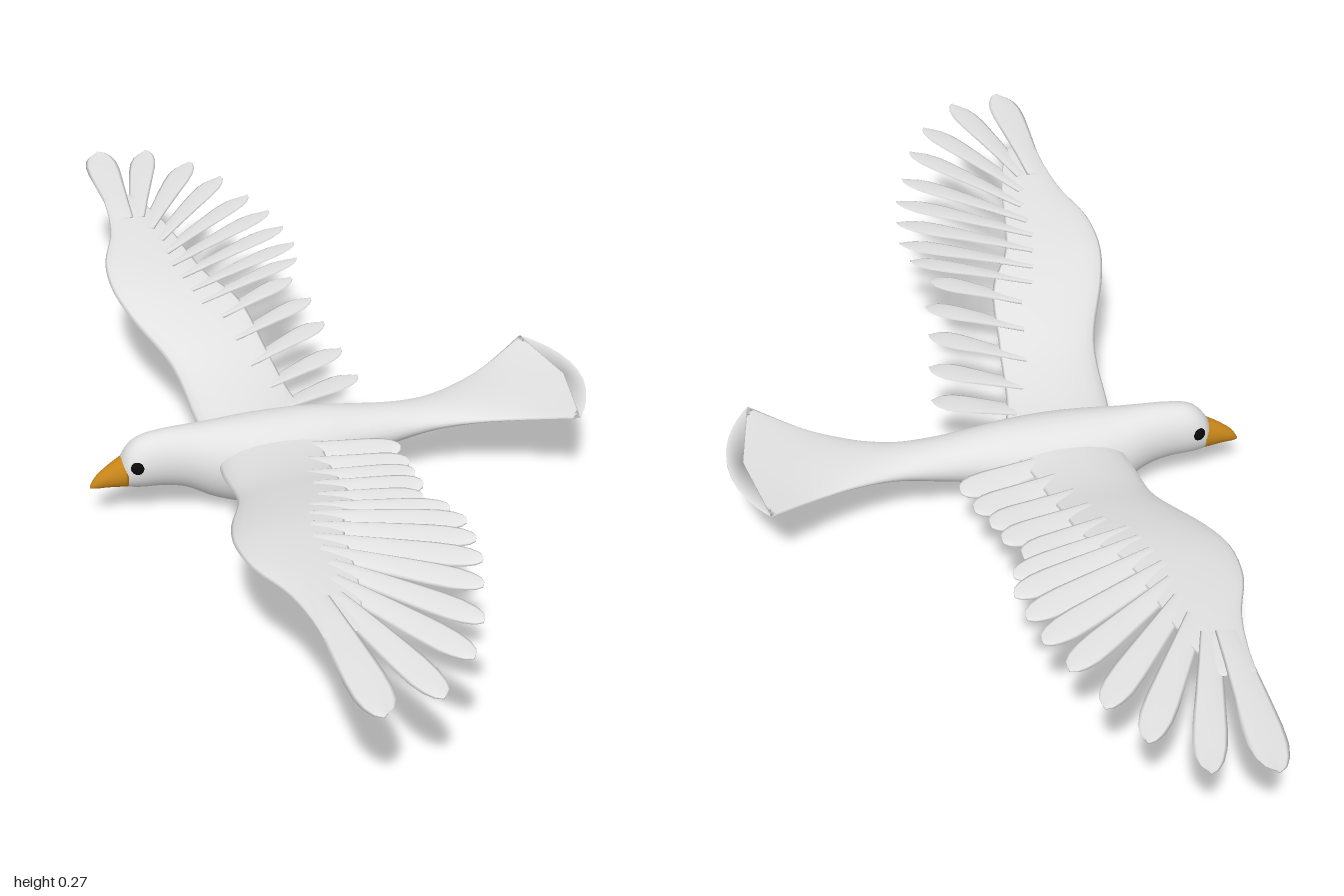
import * as THREE from 'three';

const white = new THREE.MeshStandardMaterial({ color: 0xe2e2e2, side: THREE.DoubleSide });
white.name = 'plumage white';
const orange = new THREE.MeshStandardMaterial({ color: 0xc8861a });
orange.name = 'beak orange';
const black = new THREE.MeshStandardMaterial({ color: 0x0a0a0a });
black.name = 'eye black';

// Smooth lookup in a table whose first column is the position
function table(rows) {
  const f = new THREE.CubicInterpolant(rows.map(r => r[0]), rows.flatMap(r => r.slice(1)), rows[0].length - 1);
  return x => Array.from(f.evaluate(x));
}

// Skin closed rings of points, with both ends capped
function loft(name, rings, material, mirror = 1) {
  const n = rings[0].length, pos = [], idx = [];
  const put = p => pos.push(p.x, p.y, p.z * mirror);
  const tri = (a, b, c) => (mirror > 0 ? idx.push(a, b, c) : idx.push(a, c, b));
  rings.forEach(r => r.forEach(put));
  for (const r of [rings[0], rings.at(-1)]) {
    put(r.reduce((s, p) => s.add(p), new THREE.Vector3()).divideScalar(n));
  }
  const last = (rings.length - 1) * n, cap = rings.length * n;
  for (let j = 0; j < n; j++) {
    const k = (j + 1) % n;
    for (let i = 0; i < last; i += n) {
      tri(i + j, i + k, i + n + j);
      tri(i + k, i + n + k, i + n + j);
    }
    tri(cap, j === 0 ? 1 : k, j);
    idx.splice(-3, 3);
    tri(cap, k, j);
    tri(cap + 1, last + j, last + k);
  }
  const g = new THREE.BufferGeometry();
  g.setAttribute('position', new THREE.Float32BufferAttribute(pos, 3));
  g.setIndex(idx);
  g.computeVertexNormals();
  const mesh = new THREE.Mesh(g, material);
  mesh.name = name;
  return mesh;
}

const ring = (n, f) => Array.from({ length: n }, (_, j) => {
  const a = (j / n) * Math.PI * 2;
  return f(Math.cos(a), Math.sin(a));
});

// Body sections along x: top, bottom, half width, backward bow
function bodyLoft(name, rows, steps, material) {
  const at = table(rows), x0 = rows[0][0], x1 = rows.at(-1)[0], rings = [];
  for (let i = 0; i <= steps; i++) {
    const x = x0 + (x1 - x0) * i / steps;
    const [top, bottom, half, bow] = at(x);
    rings.push(ring(28, (c, s) => new THREE.Vector3(
      x + bow * (1 - s * s), (top + bottom) / 2 + c * (top - bottom) / 2, s * half)));
  }
  return loft(name, rings, material);
}

// Height of the wing, by distance from the body axis
const wingY = table([[0, 0.135], [0.1, 0.143], [0.2, 0.162], [0.3, 0.192], [0.45, 0.23],
  [0.6, 0.249], [0.8, 0.26], [1.06, 0.26]]);

// Wing sections by span: leading x, trailing x, thickness
const wingSection = table([[0, -0.165, 0.05, 0.05], [0.085, -0.179, 0.02, 0.045], [0.25, -0.19, 0.0, 0.032],
  [0.4, -0.241, -0.02, 0.026], [0.478, -0.256, -0.06, 0.022], [0.575, -0.25, -0.08, 0.018],
  [0.675, -0.217, -0.095, 0.014], [0.76, -0.203, -0.115, 0.011], [0.826, -0.199, -0.14, 0.008]]);

// Feathers from wing tip to body: root x, root z, tip x, tip z, half width
const feathers = [
  [-0.178, 0.72, -0.166, 1.05, 0.034], [-0.15, 0.72, -0.063, 1.03, 0.028],
  [-0.14, 0.67, 0.015, 0.945, 0.028], [-0.13, 0.62, 0.062, 0.856, 0.027],
  [-0.13, 0.57, 0.096, 0.757, 0.027], [-0.13, 0.525, 0.122, 0.681, 0.028],
  [-0.12, 0.48, 0.134, 0.612, 0.028], [-0.11, 0.435, 0.14, 0.546, 0.027],
  [-0.1, 0.395, 0.129, 0.49, 0.026], [-0.07, 0.35, 0.1, 0.431, 0.029],
  [-0.06, 0.285, 0.122, 0.365, 0.029], [-0.05, 0.215, 0.129, 0.296, 0.03],
  [-0.04, 0.145, 0.143, 0.222, 0.031], [-0.04, 0.075, 0.153, 0.142, 0.032],
];
const featherShape = [[0, 0.6], [0.25, 0.72], [0.5, 0.88], [0.7, 1], [0.82, 0.98],
  [0.91, 0.8], [0.97, 0.5], [1, 0.1]];

function feather([rx, rz, tx, tz, half], mirror) {
  const d = new THREE.Vector3(tx - rx, 0, tz - rz).normalize();
  const rings = featherShape.map(([t, w]) => {
    const x = rx + (tx - rx) * t, z = rz + (tz - rz) * t, y = wingY(z)[0];
    const thick = 0.0045 * (1 - 0.6 * t);
    return ring(10, (c, s) => new THREE.Vector3(
      x + d.z * half * w * c, y + s * thick + 0.004 * c, z - d.x * half * w * c));
  });
  return loft('feather', rings, white, mirror);
}

function wing(name, mirror) {
  const g = new THREE.Group();
  g.name = name;
  const rings = [];
  for (let i = 0; i <= 30; i++) {
    const z = 0.826 * i / 30;
    const [lead, trail, thick] = wingSection(z), y = wingY(z)[0];
    rings.push(ring(20, (c, s) => {
      // blunt leading edge, thin drooping ends
      const u = (1 + c) / 2;
      const t = s * thick * 0.5 * (1.15 - 0.75 * u);
      const droop = -0.5 * thick * (1 - u) * (1 - u);
      return new THREE.Vector3(lead + (trail - lead) * u, y + t + droop, z);
    }));
  }
  g.add(loft('wingPanel', rings, white, mirror));
  feathers.forEach(f => g.add(feather(f, mirror)));
  return g;
}

export function createModel() {
  const bird = new THREE.Group();
  bird.name = 'bird';

  // Head, body and fanned tail in one skin
  bird.add(bodyLoft('body', [
    [-0.35, 0.132, 0.073, 0.025, 0], [-0.335, 0.154, 0.069, 0.034, 0], [-0.315, 0.168, 0.066, 0.039, 0],
    [-0.27, 0.176, 0.063, 0.043, 0], [-0.23, 0.177, 0.053, 0.049, 0], [-0.18, 0.176, 0.026, 0.063, 0],
    [-0.12, 0.177, 0.006, 0.077, 0], [-0.07, 0.177, 0.001, 0.083, 0], [0, 0.176, 0.013, 0.078, 0],
    [0.05, 0.173, 0.035, 0.068, 0], [0.1, 0.166, 0.066, 0.058, 0], [0.18, 0.156, 0.086, 0.05, 0],
    [0.25, 0.151, 0.104, 0.052, 0], [0.33, 0.153, 0.122, 0.073, 0.01], [0.41, 0.16, 0.141, 0.11, 0.03],
    [0.5, 0.176, 0.168, 0.167, 0.06],
  ], 70, white));

  bird.add(bodyLoft('beak', [
    [-0.411, 0.079, 0.074, 0.003, 0], [-0.402, 0.094, 0.073, 0.009, 0],
    [-0.38, 0.113, 0.073, 0.017, 0], [-0.342, 0.136, 0.071, 0.03, 0],
  ], 12, orange));

  for (const side of [1, -1]) {
    const eye = new THREE.Mesh(new THREE.SphereGeometry(0.0135, 20, 14), black);
    eye.name = side > 0 ? 'leftEye' : 'rightEye';
    eye.scale.z = 0.55;
    eye.position.set(-0.325, 0.122, 0.0325 * side);
    eye.rotation.y = -0.25 * side;
    bird.add(eye);
    bird.add(wing(side > 0 ? 'leftWing' : 'rightWing', side));
  }

  // Heading of the flight pose
  bird.rotation.y = THREE.MathUtils.degToRad(18.7);
  bird.position.set(-0.019, 0, -0.056);
  const model = new THREE.Group();
  model.name = 'flyingBird';
  model.add(bird);
  return model;
}
